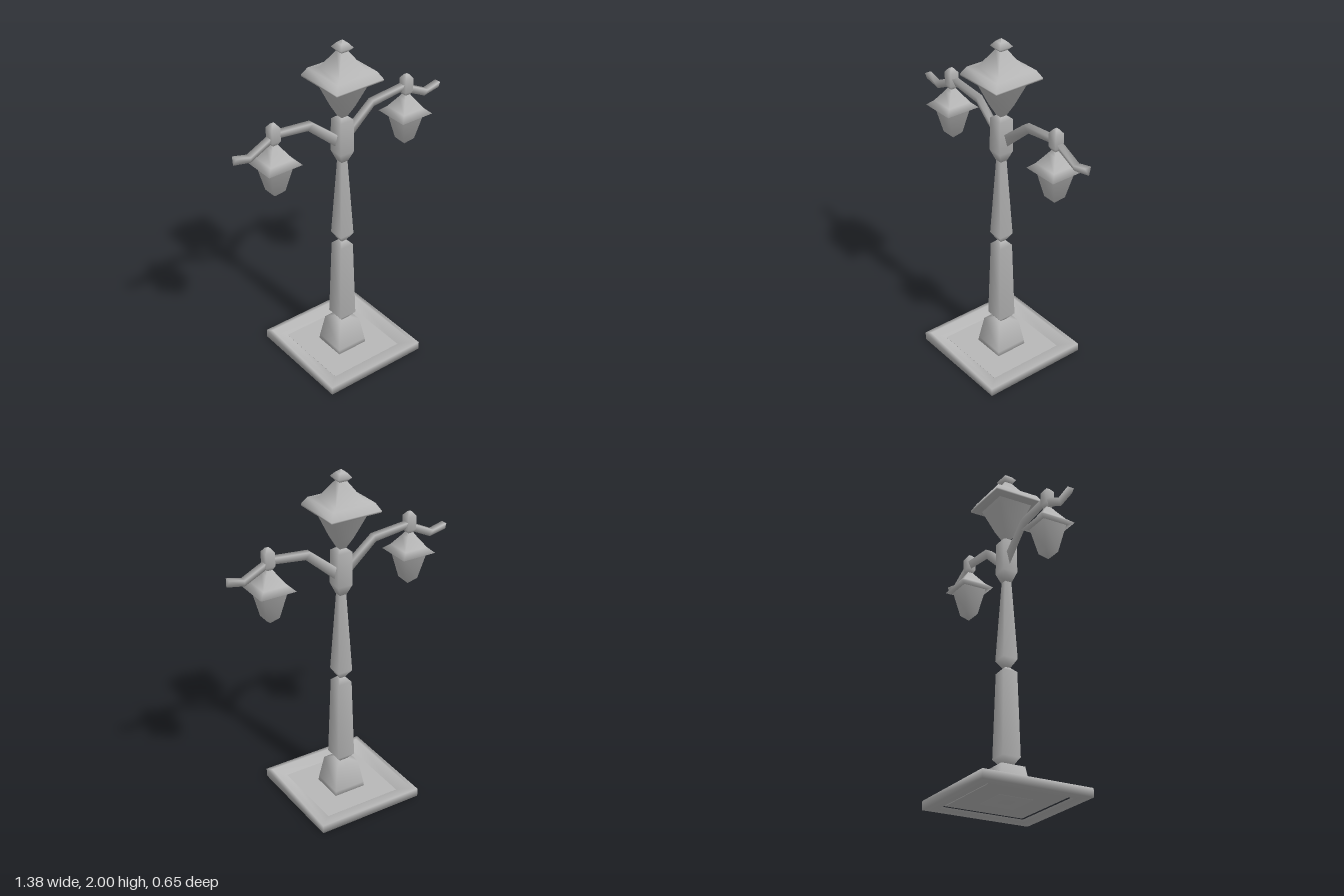
import * as THREE from 'three';

// Square-section turned solid: profile of [half width, y], bottom to top, smooth normals
function squareTurn(profile) {
  const pts = profile.map(([r, y]) => new THREE.Vector2(r * Math.SQRT2, y));
  return new THREE.LatheGeometry(pts, 4, Math.PI / 4);
}

// Bar with a downward-pointing triangular section swept along a path in the xy plane
function triangleBar(path) {
  const pos = [], idx = [], n = path.length;
  path.forEach(([x, y, h], i) => {
    const a = path[Math.max(i - 1, 0)], b = path[Math.min(i + 1, n - 1)];
    const d = new THREE.Vector2(b[0] - a[0], b[1] - a[1]).normalize();
    const ux = -d.y * h / 2, uy = d.x * h / 2;
    pos.push(x + ux, y + uy, 0.02, x + ux, y + uy, -0.02, x - ux, y - uy, 0);
  });
  for (let i = 0; i < n - 1; i++) {
    for (let k = 0; k < 3; k++) {
      const p = i * 3 + k, q = i * 3 + (k + 1) % 3;
      idx.push(p, p + 3, q, q, p + 3, q + 3);
    }
  }
  const e = (n - 1) * 3;
  idx.push(0, 1, 2, e, e + 2, e + 1);
  const g = new THREE.BufferGeometry();
  g.setAttribute('position', new THREE.Float32BufferAttribute(pos, 3));
  g.setIndex(idx);
  g.computeVertexNormals();
  return g;
}

export function createModel() {
  const model = new THREE.Group();
  model.name = 'streetLamp';
  const grey = new THREE.MeshStandardMaterial({ color: 0xb8b8b8 });
  grey.name = 'grey metal';

  const add = (parent, name, geometry) => {
    const mesh = new THREE.Mesh(geometry, grey);
    mesh.name = name;
    parent.add(mesh);
    return mesh;
  };

  // Base: raised rim around a sunken panel
  add(model, 'baseRim', squareTurn([
    [0.25, 0.012], [0.26, 0], [0.325, 0], [0.325, 0.05], [0.3, 0.05], [0.232, 0.022], [0.232, 0.012],
  ]));
  add(model, 'basePanel', new THREE.BoxGeometry(0.47, 0.012, 0.47)).position.y = 0.018;

  // Post, from plinth to collar
  add(model, 'plinth', squareTurn([
    [0, 0.008], [0.1, 0.008], [0.095, 0.05], [0.072, 0.193], [0.022, 0.207],
  ]));
  add(model, 'lowerPost', squareTurn([
    [0.022, 0.2], [0.055, 0.245], [0.043, 0.733], [0.015, 0.762],
  ]));
  add(model, 'upperPost', squareTurn([
    [0.015, 0.76], [0.045, 0.81], [0.02, 1.29],
  ]));
  add(model, 'collar', squareTurn([
    [0, 1.285], [0.022, 1.285], [0.045, 1.345], [0.043, 1.54], [0.018, 1.56],
  ]));

  // Top lantern
  const lantern = new THREE.Group();
  lantern.name = 'topLantern';
  model.add(lantern);
  add(lantern, 'lanternBody', squareTurn([
    [0.015, 1.55], [0.048, 1.62], [0.106, 1.775],
  ]));
  add(lantern, 'lanternRoof', squareTurn([
    [0.1, 1.77], [0.152, 1.778], [0.153, 1.788], [0.128, 1.83], [0.088, 1.835], [0.022, 1.937],
  ]));
  add(lantern, 'lanternFinial', squareTurn([
    [0.022, 1.935], [0.042, 1.957], [0.022, 1.982], [0, 2],
  ]));

  // Mirrored arms with hanging lamps
  for (const side of [1, -1]) {
    const label = side > 0 ? 'left' : 'right';
    const path = [
      [0.01, 1.395, 0.06], [0.21, 1.565, 0.052], [0.42, 1.588, 0.045],
      [0.587, 1.507, 0.043], [0.683, 1.528, 0.043],
    ].map(([x, y, h]) => [x * side, y, h]);
    if (side < 0) path.reverse();
    add(model, label + 'Arm', triangleBar(path)).position.z = -0.004;

    const lamp = new THREE.Group();
    lamp.name = label + 'Lamp';
    lamp.position.x = 0.442 * side;
    model.add(lamp);
    add(lamp, 'lampBody', squareTurn([
      [0, 1.23], [0.038, 1.268], [0.072, 1.428],
    ]));
    add(lamp, 'lampRoof', squareTurn([
      [0.068, 1.425], [0.105, 1.432], [0.072, 1.462], [0.028, 1.525], [0.014, 1.548],
    ]));
    add(lamp, 'lampHanger', squareTurn([
      [0.014, 1.54], [0.027, 1.565], [0.027, 1.642], [0.01, 1.665], [0, 1.668],
    ]));
  }
  return model;
}
